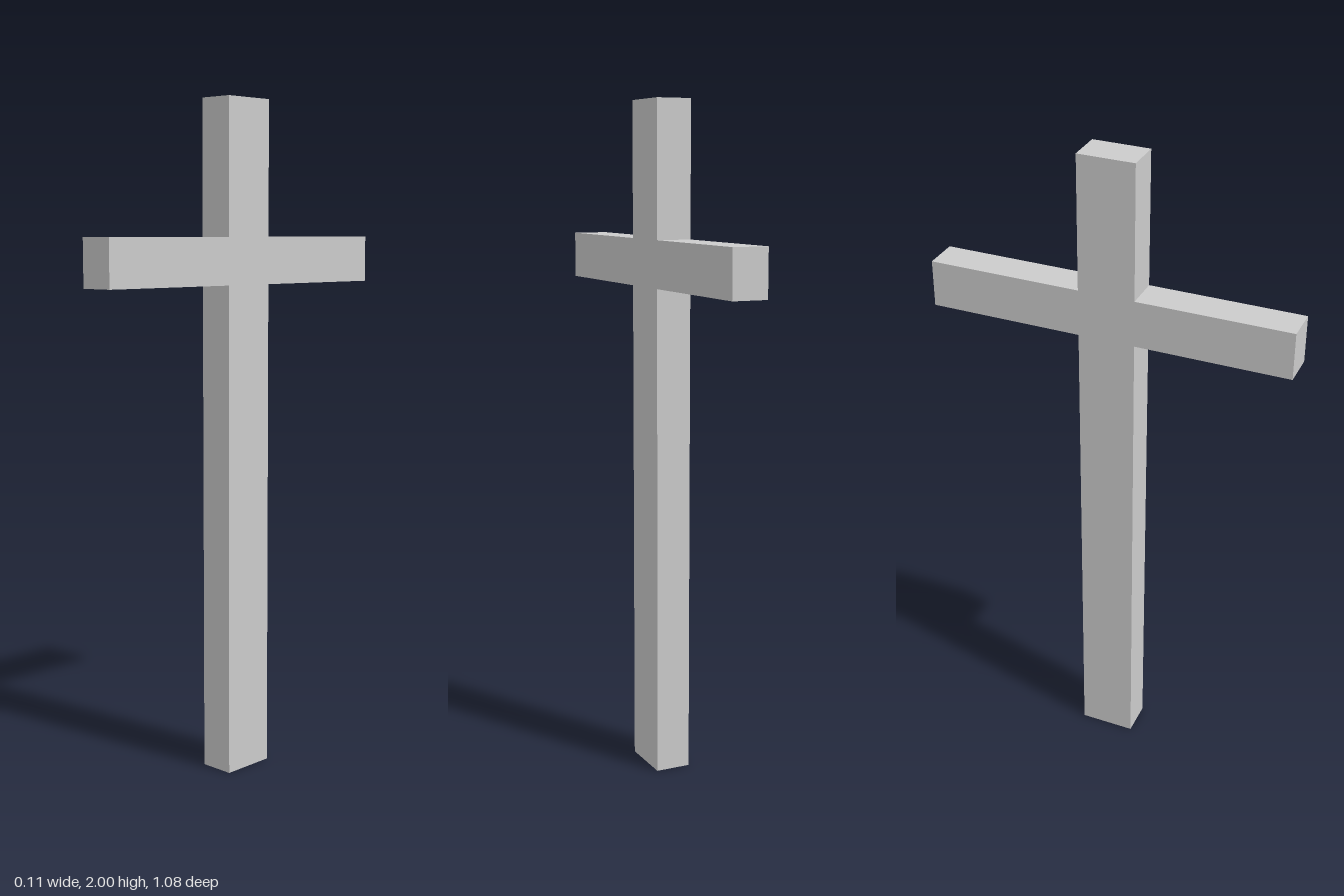
import * as THREE from 'three';

export function createModel() {
  const group = new THREE.Group();
  const height = 2, thickness = 0.106;
  const post = 0.084, arm = 0.539;        // half widths along z
  const armBottom = 1.465, armTop = 1.604;

  // Right half of the outline from bottom to top, mirrored for the other half
  const half = [
    [post, 0], [post, armBottom], [arm, armBottom],
    [arm, armTop], [post, armTop], [post, height],
  ];
  const mirrored = half.map(([u, y]) => [-u, y]).reverse();
  const outline = [...half, ...mirrored].map(([u, y]) => new THREE.Vector2(u, y));

  // One solid slab, turned so that the arms run along z
  const geometry = new THREE.ExtrudeGeometry(new THREE.Shape(outline), {
    depth: thickness, bevelEnabled: false,
  });
  geometry.translate(0, 0, -thickness / 2);
  geometry.rotateY(Math.PI / 2);

  const cross = new THREE.Mesh(
    geometry,
    new THREE.MeshStandardMaterial({ color: 0xcccccc, flatShading: true }),
  );
  cross.name = 'cross';
  group.add(cross);
  return group;
}
